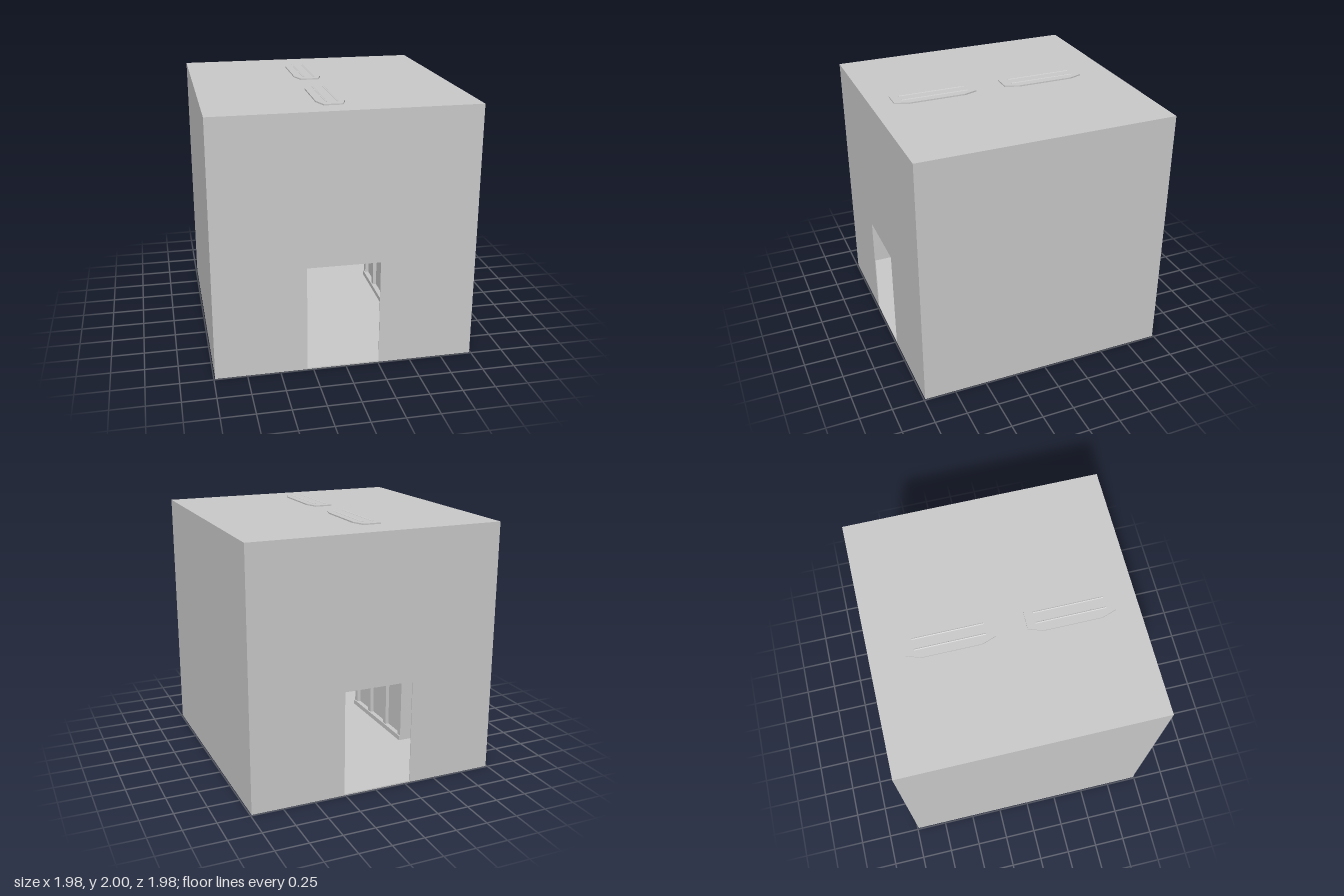
import * as THREE from 'three';

const grey = new THREE.MeshStandardMaterial({ color: 0xcccccc, flatShading: true, side: THREE.DoubleSide });
const HALF = 0.99, TOP = 1.985, SKIN = 0.006;

function addMesh(parent, name, geometry) {
  const mesh = new THREE.Mesh(geometry, grey);
  mesh.name = name;
  parent.add(mesh);
  return mesh;
}

// Box given by its minimum and maximum on each axis
function addBox(parent, name, [x0, x1], [y0, y1], [z0, z1]) {
  const mesh = addMesh(parent, name, new THREE.BoxGeometry(x1 - x0, y1 - y0, z1 - z0));
  mesh.position.set((x0 + x1) / 2, (y0 + y1) / 2, (z0 + z1) / 2);
  return mesh;
}

function polygon(points) {
  return new THREE.Shape(points.map(([x, y]) => new THREE.Vector2(x, y)));
}

// End wall with a doorway
function endWall() {
  const shape = polygon([[-HALF, 0], [HALF, 0], [HALF, TOP], [-HALF, TOP]]);
  shape.holes.push(polygon([[-0.295, 0.01], [-0.295, 0.83], [0.257, 0.83], [0.257, 0.01]]));
  return new THREE.ExtrudeGeometry(shape, { depth: SKIN, bevelEnabled: false });
}

// Long eight-sided ceiling lamp whose back shows above the roof
function ceilingLamp() {
  const lamp = new THREE.Group();
  lamp.name = 'ceilingLamp';
  const outline = polygon([
    [-0.107, -0.22], [-0.07, -0.328], [0.07, -0.328], [0.107, -0.22],
    [0.107, 0.22], [0.07, 0.328], [-0.07, 0.328], [-0.107, 0.22],
  ]);
  const body = addMesh(lamp, 'lampBody', new THREE.ExtrudeGeometry(outline, { depth: 0.035, bevelEnabled: false }));
  body.rotation.x = -Math.PI / 2;
  body.position.y = 1.96;
  for (const x of [-0.038, 0.045]) {
    const tube = addMesh(lamp, 'lampTube', new THREE.CylinderGeometry(0.009, 0.009, 0.525, 8));
    tube.rotation.x = Math.PI / 2;
    tube.position.set(x, 1.991, 0);
  }
  return lamp;
}

// Inner wall block on the -x side, with its posts, skirting and rail
function innerWall() {
  const wall = new THREE.Group();
  wall.name = 'innerWall';
  const outer = -0.968;
  addBox(wall, 'wallBlock', [outer, -0.59], [0.01, 1.97], [-0.3, 0.6]);
  addBox(wall, 'skirting', [outer, -0.55], [0.01, 0.05], [-0.3, 0.6]);
  addBox(wall, 'rail', [outer, -0.51], [0.95, 1.09], [-0.33, 0.63]);
  for (const z of [-0.275, 0, 0.3, 0.575]) {
    addBox(wall, 'post', [-0.6, -0.56], [0.05, 1.97], [z - 0.025, z + 0.025]);
  }
  // Small wall boxes, low and high
  addBox(wall, 'switchBox', [-0.6, -0.565], [0.4, 0.47], [0.49, 0.53]);
  addBox(wall, 'switchBox', [-0.6, -0.565], [1.4, 1.47], [-0.09, -0.05]);
  return wall;
}

export function createModel() {
  const model = new THREE.Group();
  model.name = 'corridorRoom';

  // Outer shell
  addBox(model, 'floor', [-HALF, HALF], [0, 0.01], [-HALF, HALF]);
  addBox(model, 'roof', [-HALF, HALF], [TOP - SKIN, TOP], [-HALF, HALF]);
  for (const side of [-1, 1]) {
    const x = side * (HALF - SKIN / 2);
    addBox(model, 'sideWall', [x - SKIN / 2, x + SKIN / 2], [0, TOP], [-HALF, HALF]);
  }
  addMesh(model, 'frontWall', endWall()).position.z = HALF - SKIN;
  addMesh(model, 'backWall', endWall()).position.z = -HALF;

  // Inner walls, the second turned half round
  const right = innerWall();
  right.position.x = -0.02;
  const left = innerWall();
  left.rotation.y = Math.PI;
  left.position.set(-0.02, 0, 0.02);
  model.add(right, left);

  // Lamps
  for (const z of [-0.4, 0.49]) {
    const lamp = ceilingLamp();
    lamp.position.set(-0.068, 0, z);
    model.add(lamp);
  }
  return model;
}
